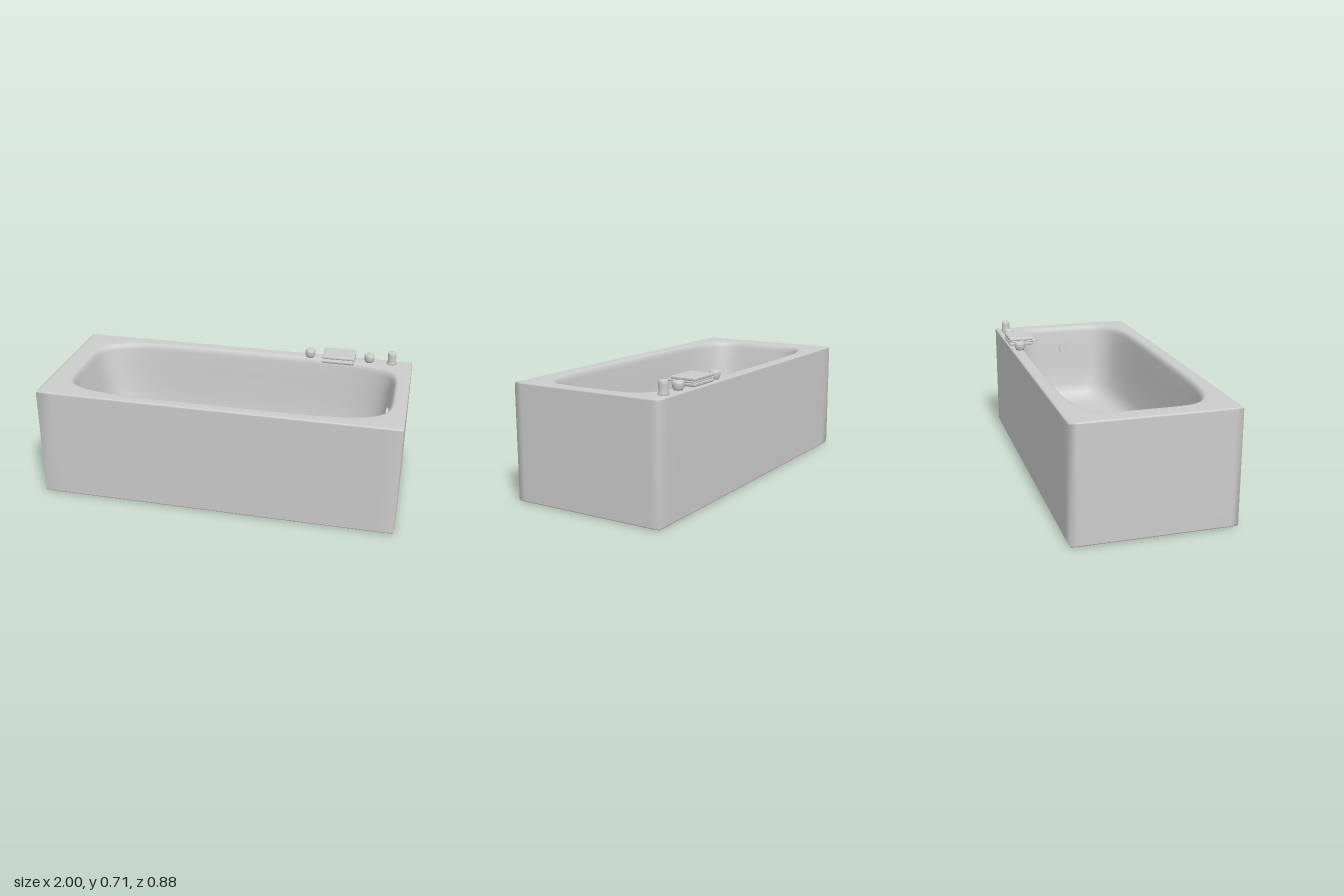
import * as THREE from 'three';
import { RoundedBoxGeometry } from 'three/addons/geometries/RoundedBoxGeometry.js';

const material = new THREE.MeshStandardMaterial({ color: 0xcccccc });
const RIM = 0.635;

// Loft through superellipse rings: [left x, right x, half depth, y, squareness]
function loft(rings, segments = 128) {
  const positions = [], index = [];
  for (const [x0, x1, b, y, n] of rings) {
    const cx = (x0 + x1) / 2, a = (x1 - x0) / 2;
    for (let j = 0; j < segments; j++) {
      const t = (j / segments) * Math.PI * 2, c = Math.cos(t), s = Math.sin(t);
      const r = (Math.abs(c) ** n + Math.abs(s) ** n) ** (-1 / n);
      positions.push(cx + a * r * c, y, b * r * s);
    }
  }
  for (let i = 0; i < rings.length - 1; i++) {
    for (let j = 0; j < segments; j++) {
      const k = (j + 1) % segments;
      const a = i * segments + j, b = i * segments + k;
      const c = a + segments, d = b + segments;
      index.push(a, c, b, b, c, d);
    }
  }
  const geometry = new THREE.BufferGeometry();
  geometry.setAttribute('position', new THREE.Float32BufferAttribute(positions, 3));
  geometry.setIndex(index);
  geometry.computeVertexNormals();
  return geometry;
}

function lathe(points) {
  return new THREE.LatheGeometry(points.map(([r, y]) => new THREE.Vector2(r, y)), 32);
}

export function createModel() {
  const model = new THREE.Group();
  const add = (name, geometry, x = 0, y = 0, z = 0) => {
    const mesh = new THREE.Mesh(geometry, material);
    mesh.name = name;
    mesh.position.set(x, y, z);
    model.add(mesh);
    return mesh;
  };

  // Boxed outside with softened edges, flat rim, and a basin reclined at its left end
  const sharp = 160;
  add('tub', loft([
    [0, 0, 0, 0, sharp],
    [-0.99, 0.99, 0.43, 0, sharp],
    [-0.997, 0.997, 0.437, 0.003, sharp],
    [-1, 1, 0.44, 0.01, sharp],
    [-1, 1, 0.44, RIM - 0.01, sharp],
    [-0.997, 0.997, 0.437, RIM - 0.003, sharp],
    [-0.99, 0.99, 0.43, RIM, sharp],
    [-0.9, 0.936, 0.384, RIM, 5],
    [-0.886, 0.926, 0.372, RIM - 0.004, 5],
    [-0.875, 0.917, 0.363, RIM - 0.014, 5],
    [-0.868, 0.911, 0.358, RIM - 0.035, 5],
    [-0.845, 0.895, 0.347, 0.5, 5],
    [-0.815, 0.878, 0.333, 0.36, 5],
    [-0.78, 0.86, 0.316, 0.25, 4.8],
    [-0.745, 0.835, 0.295, 0.195, 4.6],
    [-0.69, 0.795, 0.262, 0.163, 4.4],
    [-0.61, 0.73, 0.215, 0.15, 4.2],
    [-0.45, 0.58, 0.14, 0.146, 4],
    [0.06, 0.06, 0, 0.144, 4],
  ]));

  // Overflow cover on the right end wall
  const overflow = add('overflowCover', new THREE.CylinderGeometry(0.033, 0.033, 0.012, 32), 0.889, 0.5, 0);
  overflow.rotation.z = Math.PI / 2 - 0.12;

  // Two tap knobs
  const knob = lathe([[0, 0], [0.024, 0], [0.024, 0.008], [0.029, 0.012], [0.03, 0.032],
    [0.028, 0.042], [0.022, 0.048], [0, 0.05]]);
  add('tapKnobLeft', knob, 0.75, RIM - 0.001, -0.39);
  add('tapKnobRight', knob, 0.4, RIM - 0.001, -0.39);

  // Hand shower handle parked in its holder
  add('handShower', lathe([[0, 0], [0.028, 0], [0.028, 0.008], [0.023, 0.014], [0.025, 0.05],
    [0.024, 0.065], [0.02, 0.072], [0, 0.074]]), 0.88, RIM - 0.001, -0.39);

  // Wide waterfall spout with a projecting tongue
  add('spoutTop', new RoundedBoxGeometry(0.186, 0.018, 0.142, 3, 0.007), 0.576, 0.675, -0.364);
  add('spoutBottom', new RoundedBoxGeometry(0.186, 0.018, 0.142, 3, 0.007), 0.576, 0.648, -0.364);
  add('spoutTongue', new RoundedBoxGeometry(0.184, 0.013, 0.162, 3, 0.005), 0.576, 0.661, -0.351);
  add('spoutFoot', new THREE.BoxGeometry(0.17, 0.02, 0.06), 0.576, RIM + 0.006, -0.395);

  return model;
}
